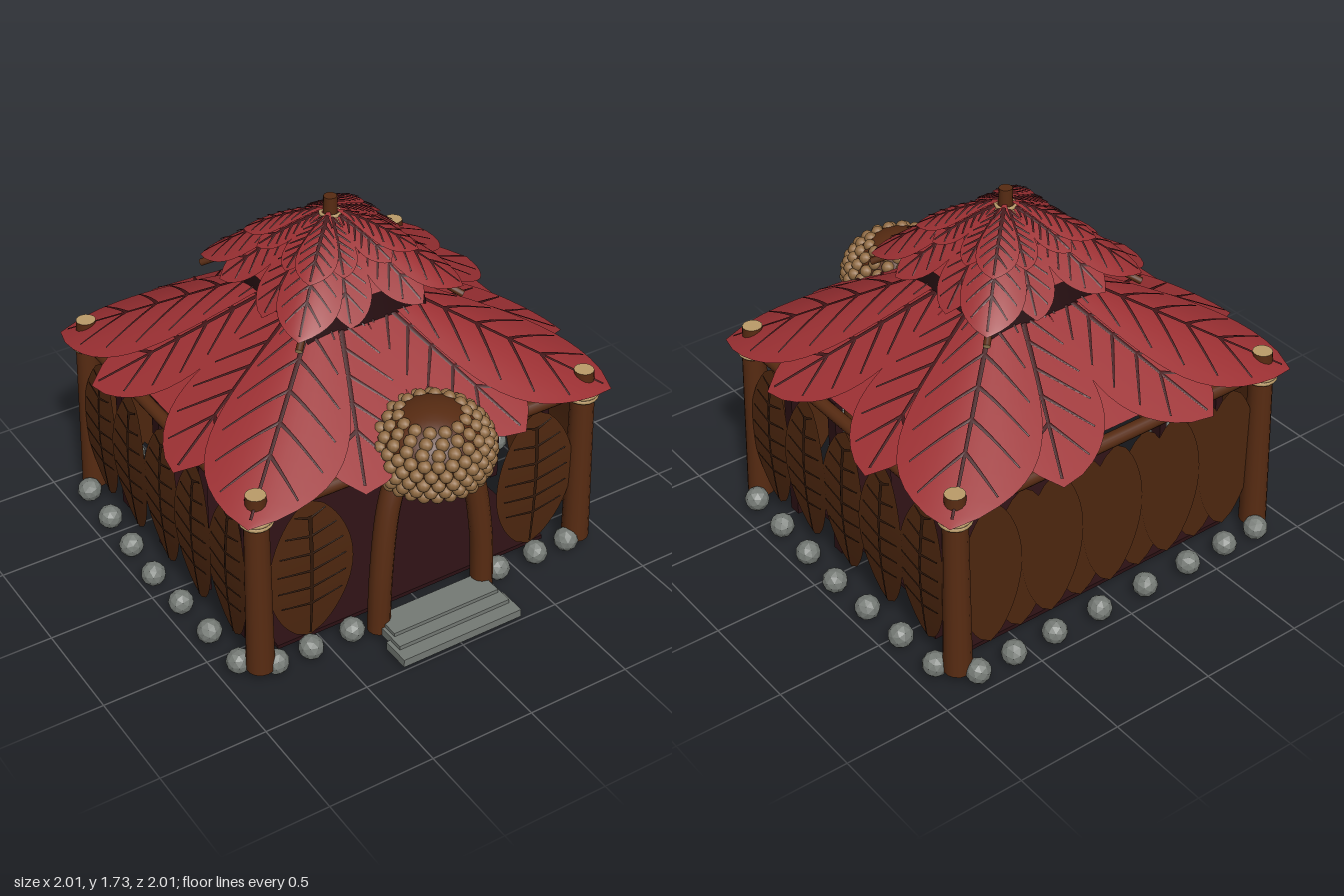
import * as THREE from 'three';
import { mergeGeometries } from 'three/addons/utils/BufferGeometryUtils.js';

const CZ = -0.085; // centre of the hut in z
const mat = (name, color, extra = {}) => {
  const m = new THREE.MeshStandardMaterial({ color, ...extra });
  m.name = name;
  return m;
};

export function createModel() {
  const both = { side: THREE.DoubleSide };
  const M = {
    red: mat('roof leaf red', 0x9c3033, both),
    redVein: mat('roof vein maroon', 0x421416, both),
    wall: mat('wall leaf brown', 0x4e270f, both),
    wallVein: mat('wall vein brown', 0x2e1709, both),
    wood: mat('post wood', 0x572b12),
    dark: mat('dark timber', 0x2b1013),
    tan: mat('rope tan', 0xbb9c69),
    bead: mat('bead brown', 0x8f6a42),
    stone: mat('stone grey', 0x757a75, { flatShading: true }),
  };
  const root = new THREE.Group();
  const add = (name, geo, material, x = 0, y = 0, z = 0) => {
    const mesh = new THREE.Mesh(geo, material);
    mesh.name = name;
    mesh.position.set(x, y, z);
    root.add(mesh);
    return mesh;
  };
  // pole between two points
  const pole = (name, a, b, r0, r1, material) => {
    const A = new THREE.Vector3(...a), B = new THREE.Vector3(...b);
    const mesh = add(name, new THREE.CylinderGeometry(r1, r0, A.distanceTo(B), 14), material);
    mesh.position.copy(A).add(B).multiplyScalar(0.5);
    mesh.quaternion.setFromUnitVectors(new THREE.Vector3(0, 1, 0), B.sub(A).normalize());
    return mesh;
  };
  const binding = (name, x, y, z, r, turns, thick) => {
    for (let i = 0; i < turns; i++) {
      add(name, new THREE.TorusGeometry(r, thick, 6, 18), M.tan, x, y + i * thick * 1.7, z).rotation.x = Math.PI / 2;
    }
  };

  // grid surface from a rule point(s, t), both 0..1
  const surface = (nu, nv, point) => {
    const pos = [], idx = [];
    for (let i = 0; i <= nu; i++) for (let j = 0; j <= nv; j++) pos.push(...point(i / nu, j / nv));
    for (let i = 0; i < nu; i++) for (let j = 0; j < nv; j++) {
      const a = i * (nv + 1) + j, b = a + nv + 1;
      idx.push(a, a + 1, b, b, a + 1, b + 1);
    }
    const g = new THREE.BufferGeometry();
    g.setAttribute('position', new THREE.Float32BufferAttribute(pos, 3));
    g.setIndex(idx);
    g.computeVertexNormals();
    return g;
  };
  // place(along, across, lift) lays a leaf on any surface
  const blade = (place, L, W, shape) =>
    surface(20, 10, (t, v) => place(t * L, (v * 2 - 1) * W * shape(t), 0));
  const veins = (place, L, W, shape, o) => {
    const line = (a0, b0, a1, b1, w, n) => {
      const l = Math.hypot(a1 - a0, b1 - b0), px = -(b1 - b0) / l, py = (a1 - a0) / l;
      return surface(n, 2, (t, v) => {
        const k = (v - 0.5) * w * (1 - 0.5 * t);
        return place(a0 + (a1 - a0) * t + px * k, b0 + (b1 - b0) * t + py * k, o.lift * (v === 0.5 ? 1.5 : 1));
      });
    };
    const out = [line(o.from * L, 0, L * 0.97, 0, o.width * 1.5, 20)];
    for (let i = 0; i < o.pairs; i++) {
      const t0 = o.from + 0.02 + (0.84 - o.from) * i / o.pairs, t1 = t0 + o.sweep;
      for (const s of [-1, 1]) out.push(line(t0 * L, 0, t1 * L, s * 0.82 * W * shape(t1), o.width, 6));
    }
    return out;
  };

  // roof tiers: leaves draped over a softened pyramid
  const roofShape = t => Math.pow(Math.max(0, Math.sin(Math.PI * Math.pow(t, 1.7))), 0.75);
  const norm5 = (x, z) => Math.pow(Math.abs(x) ** 5 + Math.abs(z) ** 5, 0.2);
  const roofTier = (name, height, k, xScale, base, layers) => {
    const leaves = [], ribs = [];
    const drape = (x, z, lift) => [x * xScale, height(norm5(x, z)) + lift, z + CZ];
    leaves.push(surface(20, 20, (a, b) => drape((a * 2 - 1) * base, (b * 2 - 1) * base, -0.012)));
    layers.forEach(([size, lift]) => {
      for (let q = 0; q < 4; q++) {
        for (const [deg, L, W, up] of [[22, 0.995, 0.24, 0], [68, 0.995, 0.24, 0], [45, 1.2, 0.28, 0.014]]) {
          const ang = THREE.MathUtils.degToRad(deg + q * 90), c = Math.cos(ang), s = Math.sin(ang);
          const place = (a, b, o) => drape(a * c - b * s, a * s + b * c, o + up + lift);
          const l = L * k * size, w = W * k * size;
          leaves.push(blade(place, l, w, roofShape));
          ribs.push(...veins(place, l, w, roofShape,
            { lift: 0.006, from: 0.15, width: 0.011 + 0.005 * k, pairs: 6, sweep: 0.13 }));
        }
      }
    });
    add(name + ' leaves', mergeGeometries(leaves), M.red);
    add(name + ' veins', mergeGeometries(ribs), M.redVein);
  };
  roofTier('lower roof', s => 1.42 - 0.567 * s, 1, 1.09, 0.79, [[1, 0]]);
  roofTier('upper roof', s => 1.635 - 0.3 * s - 0.65 * s * s, 0.49, 1, 0.36, [[1, 0], [0.66, 0.025]]);

  // roof neck, finial and upper rafter ends
  add('roof neck', new THREE.CylinderGeometry(0.28 * Math.SQRT2, 0.305 * Math.SQRT2, 0.2, 4, 1).rotateY(Math.PI / 4),
    M.dark, 0, 1.32, CZ);
  pole('finial', [0, 1.5, CZ], [0, 1.73, CZ], 0.036, 0.03, M.wood);
  binding('finial binding', 0, 1.618, CZ, 0.043, 3, 0.009);
  for (const sx of [-1, 1]) for (const sz of [-1, 1]) {
    pole('upper rafter', [sx * 0.1, 1.54, CZ + sz * 0.1], [sx * 0.415, 1.315, CZ + sz * 0.415], 0.016, 0.016,
      [M.wood, M.tan, M.tan]);
    // corner posts
    const x = sx * 0.835, z = CZ + sz * 0.76;
    pole('corner post', [sx * 0.842, 0.05, CZ + sz * 0.775], [x, 0.88, z], 0.064, 0.054, M.wood);
    pole('post tip', [x, 0.86, z], [x, 0.967, z], 0.05, 0.045, [M.wood, M.tan, M.tan]);
    binding('post binding', x, 0.832, z, 0.063, 3, 0.011);
  }

  // beams under the eaves
  for (const s of [-1, 1]) {
    pole('cross beam', [-0.84, 0.868, CZ + s * 0.76], [0.84, 0.868, CZ + s * 0.76], 0.034, 0.034, M.wood);
    pole('side beam', [s * 0.835, 0.855, CZ - 0.76], [s * 0.835, 0.855, CZ + 0.76], 0.03, 0.03, M.wood);
  }

  // leaf walls
  const wallShape = t => Math.pow(Math.max(0, Math.sin(Math.PI * t)), 0.6);
  const H = 0.74, TOP = 0.835;
  const wallVeins = { lift: 0.006, from: 0.04, width: 0.014, pairs: 6, sweep: -0.04 };
  const wallLeaf = (name, place, W, veined) => {
    add(name, blade(place, H, W, wallShape), M.wall);
    if (!veined) return;
    const o = { ...wallVeins, from: 0.1 };
    add(name + ' veins', mergeGeometries(veins(place, H, W, wallShape, o)), M.wallVein);
  };
  const bulge = a => 0.03 * Math.sin(Math.PI * a / H);
  for (const s of [-1, 1]) {
    for (let i = -2; i <= 2; i++) {
      wallLeaf('side wall leaf',
        (a, b, o) => [s * (0.855 + bulge(a) + o + 0.004 * (i & 1)), TOP - a, CZ + i * 0.291 + b], 0.162, true);
    }
    wallLeaf('front wall leaf', (a, b, o) => [s * 0.585 + b, TOP - a, 0.675 + bulge(a) * 0.6 + o], 0.21, true);
    // inner studs
    for (let i = 0; i < 4; i++) {
      add('inner stud', new THREE.BoxGeometry(0.04, 0.83, 0.06), M.dark, s * 0.785, 0.455, 0.46 - i * 0.36);
    }
  }
  for (let i = -4; i <= 4; i++) {
    wallLeaf('back wall leaf', (a, b) => [i * 0.165 + b, TOP - a, -0.85 + 0.004 * (i & 1)], 0.165, false);
  }

  // floor and entrance steps
  add('floor', new THREE.BoxGeometry(1.42, 0.02, 1.4), M.dark, 0, 0.035, CZ);
  [[0.31, 0.042, 0.93], [0.29, 0.062, 0.865], [0.275, 0.08, 0.80]].forEach(([hw, y, z]) =>
    add('step', new THREE.BoxGeometry(hw * 2, 0.04, 0.14), M.stone, 0, y, z));

  // ring of foundation stones
  const rock = new THREE.IcosahedronGeometry(0.058, 1);
  const stone = (x, z) => { add('foundation stone', rock, M.stone, x, 0.06, z).rotation.set(x * 5, z * 7, x + z); };
  for (const s of [-1, 1]) {
    for (let i = -3; i <= 3; i++) stone(s * (0.945 - 0.012 * Math.abs(i)), CZ + i * 0.235);
    for (const x of [0.13, 0.38, 0.6, 0.79]) stone(s * x, -0.935);
    for (const x of [0.39, 0.6, 0.775]) stone(s * x, 0.71);
  }

  // curved door posts
  for (const s of [-1, 1]) {
    const path = new THREE.CatmullRomCurve3([
      [0.275, 0.04, 0.745], [0.262, 0.35, 0.74], [0.215, 0.68, 0.72], [0.14, 0.88, 0.70],
    ].map(([x, y, z]) => new THREE.Vector3(s * x, y, z)));
    add('door post', new THREE.TubeGeometry(path, 16, 0.052, 12), M.wood);
    add('door post foot', new THREE.CircleGeometry(0.052, 12).rotateX(Math.PI / 2), M.wood, s * 0.275, 0.04, 0.745);
  }

  // beaded seed cap above the door
  const C = [0, 0.905, 0.715];
  add('seed cap core', new THREE.SphereGeometry(1, 28, 18).scale(0.255, 0.21, 0.255), M.wood, ...C);
  const beads = [];
  for (let row = 0; row < 8; row++) {
    const lat = -0.48 + row * 0.21, n = row < 5 ? 26 : 20 - (row - 5) * 3;
    for (let i = 0; i < n; i++) {
      const a = (i + (row % 2) * 0.5) / n * Math.PI * 2;
      beads.push(new THREE.SphereGeometry(0.03, 10, 7).translate(
        0.258 * Math.cos(lat) * Math.sin(a), 0.2 * Math.sin(lat), 0.258 * Math.cos(lat) * Math.cos(a)));
    }
  }
  add('seed cap beads', mergeGeometries(beads), M.bead, ...C);

  return root;
}
